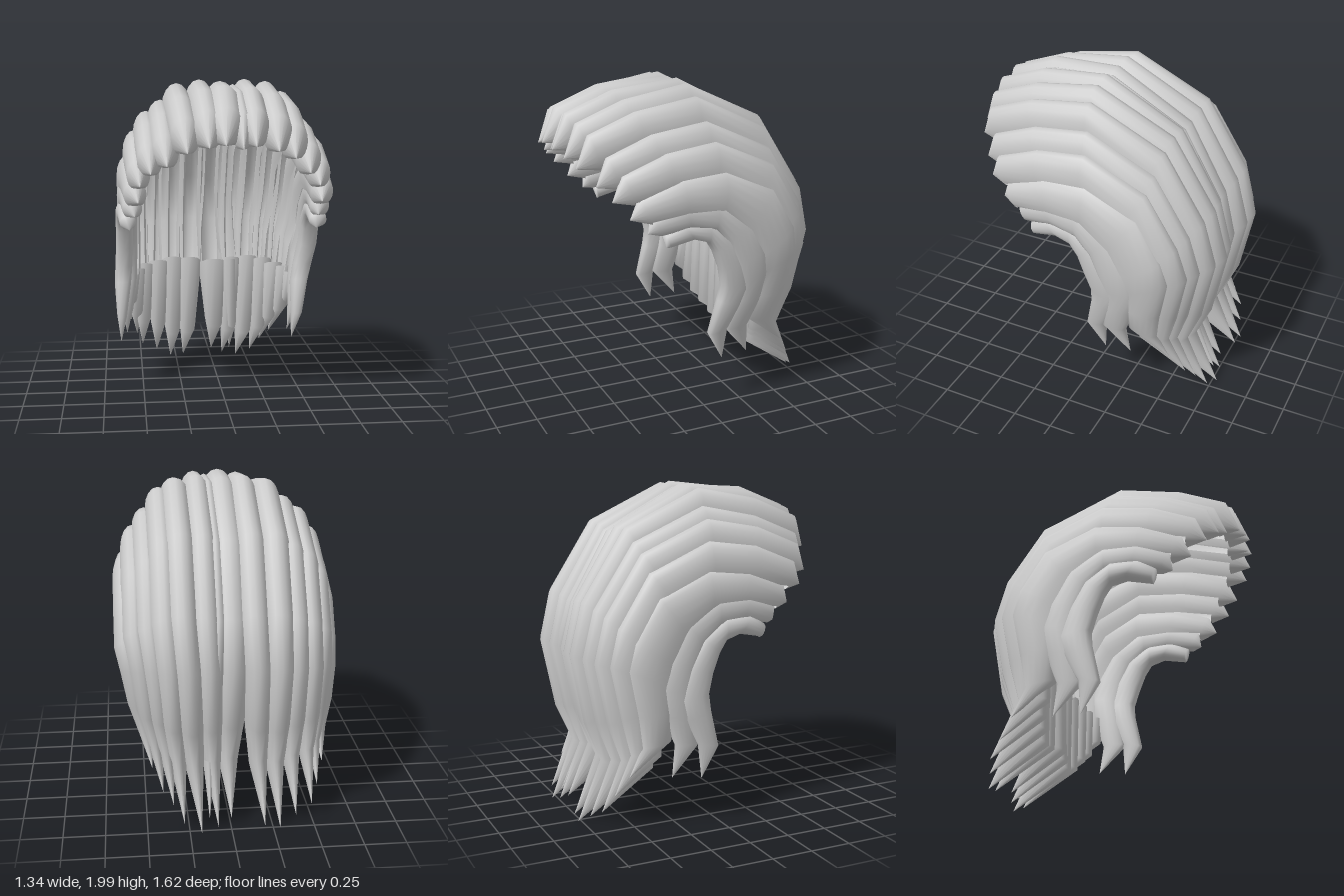
import * as THREE from 'three';

// Key strands as [z, y] rows from front tip, over the crown, to the lower tip
const OUTER = [
  [[.81, 1.63], [.73, 1.84], [.44, 1.955], [.03, 2.01], [-.46, 1.765], [-.73, 1.33], [-.81, 1.02], [-.73, .6], [-.63, .37], [-.78, 0]],
  [[.5, 1.28], [.45, 1.4], [.2, 1.5], [-.07, 1.52], [-.39, 1.38], [-.54, 1.13], [-.58, .97], [-.52, .7], [-.48, .5], [-.56, .33]],
  [[.28, 1.09], [.3, 1.18], [.2, 1.24], [.03, 1.24], [-.13, 1.13], [-.23, .95], [-.28, .77], [-.24, .65], [-.15, .5], [-.13, .29]],
];
const INNER = [
  [[.81, 1.63], [.67, 1.62], [.4, 1.69], [.02, 1.72], [-.34, 1.53], [-.5, 1.2], [-.54, .98], [-.43, .8], [-.42, .25], [-.78, 0]],
  [[.5, 1.28], [.38, 1.25], [.17, 1.27], [-.05, 1.26], [-.2, 1.12], [-.28, .97], [-.31, .85], [-.3, .7], [-.3, .53], [-.56, .33]],
  [[.28, 1.09], [.27, 1.1], [.12, 1.13], [.03, 1.1], [-.01, 1.03], [-.05, .92], [-.08, .8], [-.07, .7], [-.02, .48], [-.13, .29]],
];
const WIDTH = [0, .9, 1, 1, 1, 1, 1, .95, .6, 0];
const SIDES = 16;

// Blend between neighbouring key strands: 0 crown, 1 side, 2 temple
function blend(keys, t, i) {
  const k = Math.min(1, Math.floor(t)), f = t - k;
  return [0, 1].map(c => THREE.MathUtils.lerp(keys[k][i][c], keys[k + 1][i][c], f));
}

// One lock, round outside and squarer inside, pointed at both ends.
// All but the small temple locks are open underneath, where they lie on the head.
function lockGeometry(tFront, tBack, xFront, xMid, xTip, half) {
  const pos = [], index = [];
  for (let i = 0; i < 10; i++) {
    const t = THREE.MathUtils.lerp(tFront, tBack, THREE.MathUtils.clamp((i - 2) / 3, 0, 1));
    const [zo, yo] = blend(OUTER, t, i), [zi, yi] = blend(INNER, t, i);
    const x = i < 3 ? THREE.MathUtils.lerp(xFront, xMid, i / 3)
      : i < 6 ? xMid : THREE.MathUtils.lerp(xMid, xTip, (i - 5) / 4);
    for (let j = 0; j < SIDES; j++) {
      const a = j / SIDES * Math.PI * 2, s = (Math.sin(a) + 1) / 2, c = Math.cos(a);
      const w = j > SIDES / 2 ? Math.sign(c) * Math.abs(c) ** .55 : c;
      pos.push(x + w * half * WIDTH[i], yi + (yo - yi) * s, zi + (zo - zi) * s);
      const hollow = tFront < 1.4 && i > 0 && i < 7 && j > 9 && j < 14;
      if (i < 9 && !hollow) {
        const p = i * SIDES + j, q = i * SIDES + (j + 1) % SIDES;
        index.push(p, p + SIDES, q, q, p + SIDES, q + SIDES);
      }
    }
  }
  const g = new THREE.BufferGeometry();
  g.setAttribute('position', new THREE.Float32BufferAttribute(pos, 3));
  g.setIndex(index);
  g.computeVertexNormals();
  return g;
}

export function createModel() {
  const hair = new THREE.Group();
  hair.name = 'hair';
  const hairGrey = new THREE.MeshStandardMaterial({ color: 0xcccccc, side: THREE.DoubleSide });
  hairGrey.name = 'hairGrey';

  // front blend, back blend, front x, middle x, tip x, half width
  const locks = {
    crownLock: [
      [0, .2, -.05, -.01, 0, .1], [.06, .2, .05, .07, .13, .06],
      [.02, .08, .12, .14, .08, .085], [.04, .06, -.14, -.14, -.2, .09],
      [.1, 0, .25, .27, .18, .09], [.13, .02, -.26, -.28, -.29, .09],
      [.22, .14, .35, .37, .28, .085], [.35, .2, -.37, -.38, -.39, .085],
    ],
    sideLock: [
      [.48, .42, .45, .46, .34, .08], [.48, .36, -.46, -.47, -.49, .08],
      [.7, .63, .52, .54, .4, .075], [.7, .65, -.52, -.54, -.53, .075],
      [1, 1, .55, .59, .46, .075], [1, 1, -.53, -.58, -.57, .075],
    ],
    templeLock: [
      [1.5, 1.6, .55, .59, .48, .065], [1.5, 1.6, -.55, -.59, -.6, .065],
      [2, 2, .56, .58, .48, .06], [2, 2, -.58, -.61, -.64, .055],
    ],
  };
  for (const [name, list] of Object.entries(locks)) {
    list.forEach((args, n) => {
      const mesh = new THREE.Mesh(lockGeometry(...args), hairGrey);
      mesh.name = name + (n + 1);
      hair.add(mesh);
    });
  }
  return hair;
}
